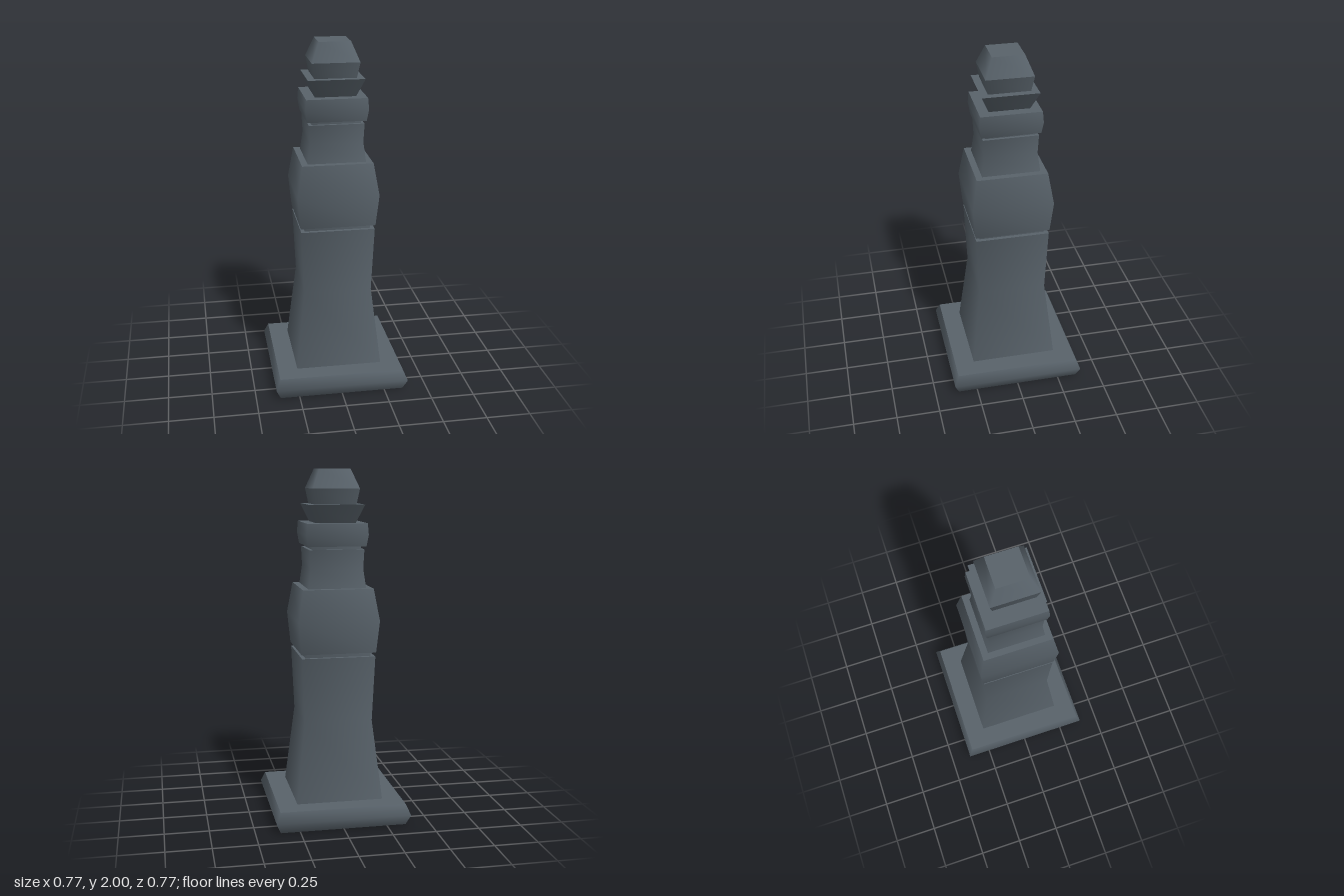
import * as THREE from 'three';
import { mergeGeometries } from 'three/addons/utils/BufferGeometryUtils.js';

const material = new THREE.MeshStandardMaterial({ color: 0x59636b });

// Flat square lid with its corners on the diagonals, facing up or down
function cap(half, y, up) {
  const g = new THREE.CircleGeometry(half * Math.SQRT2, 4, Math.PI / 4);
  g.rotateX(up ? -Math.PI / 2 : Math.PI / 2);
  g.translate(0, y, 0);
  return g;
}

// Square tier: profile of [half width, height] from bottom to top, smooth sides, flat ends
function tier(name, profile) {
  const points = profile.map(([half, y]) => new THREE.Vector2(half * Math.SQRT2, y));
  const sides = new THREE.LatheGeometry(points, 4, Math.PI / 4);
  const first = profile[0];
  const last = profile[profile.length - 1];
  const geometry = mergeGeometries([sides, cap(...first, false), cap(...last, true)]);
  const mesh = new THREE.Mesh(geometry, material);
  mesh.name = name;
  return mesh;
}

export function createModel() {
  const group = new THREE.Group();
  group.name = 'squareTower';
  const tiers = {
    basePlinth: [[0.36, 0], [0.385, 0.06], [0.36, 0.12]],
    lowerShaft: [[0.248, 0.12], [0.195, 0.58], [0.21, 0.955]],
    lowerGroove: [[0.188, 0.955], [0.188, 0.978]],
    bulgingBody: [[0.213, 0.978], [0.23, 1.16], [0.2, 1.34]],
    upperNeck: [[0.164, 1.34], [0.15, 1.45], [0.155, 1.557]],
    upperGroove: [[0.138, 1.557], [0.138, 1.575]],
    collar: [[0.165, 1.575], [0.175, 1.64], [0.17, 1.703]],
    flaredCrown: [[0.114, 1.703], [0.158, 1.805]],
    headBottom: [[0.117, 1.805], [0.133, 1.892]],
    headTop: [[0.133, 1.892], [0.089, 2]],
  };
  for (const [name, profile] of Object.entries(tiers)) group.add(tier(name, profile));
  return group;
}
